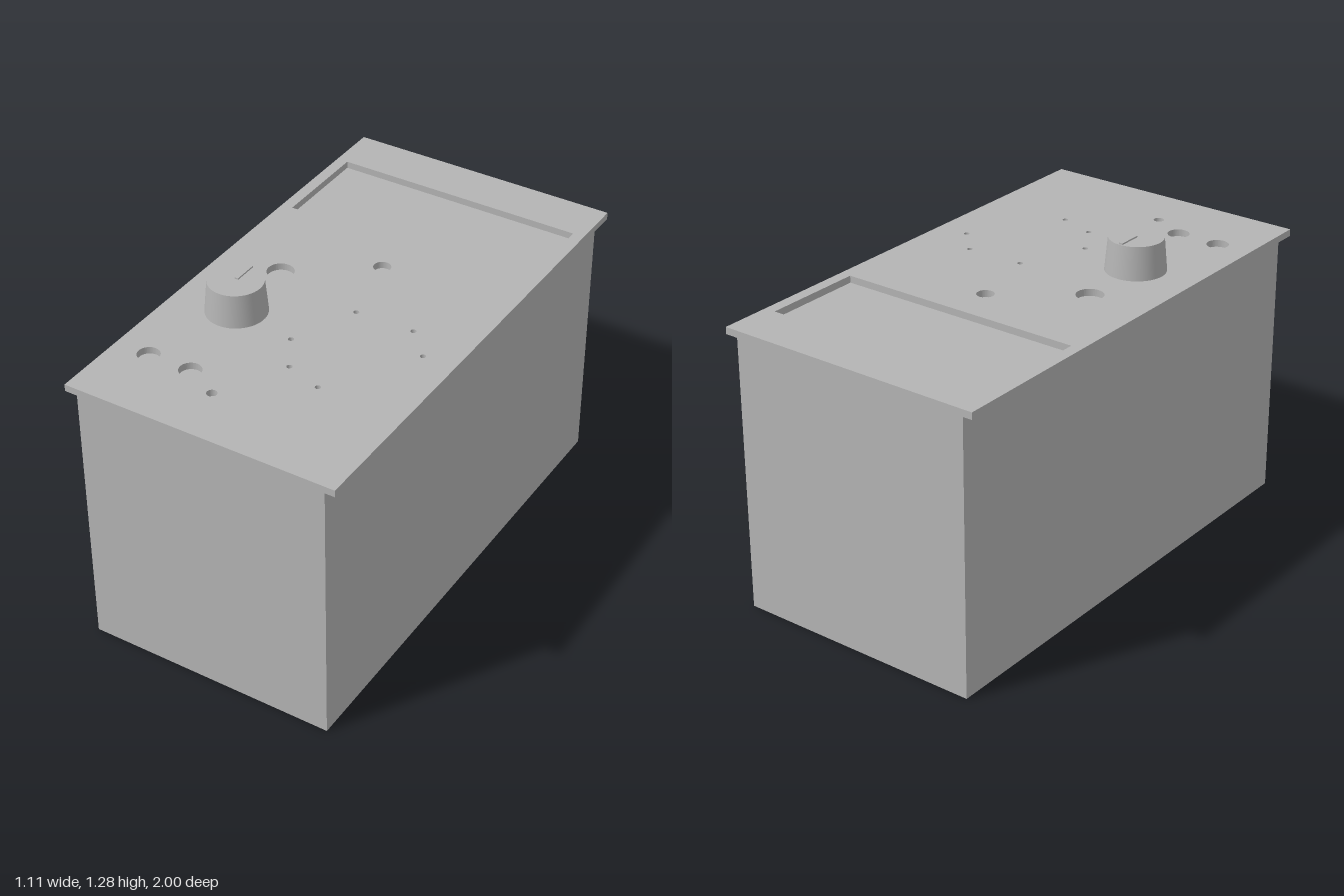
import * as THREE from 'three';

export function createModel() {
  const model = new THREE.Group();
  model.name = 'instrumentBox';
  const grey = new THREE.MeshStandardMaterial({ color: 0xb4b4b4 });
  grey.name = 'plain grey';

  const bodyTop = 1.112, panelTop = 1.14;
  const add = (name, geometry, x, y, z) => {
    const mesh = new THREE.Mesh(geometry, grey);
    mesh.name = name;
    mesh.position.set(x, y, z);
    model.add(mesh);
  };

  // Closed case; its top is the floor of every panel opening
  add('caseBody', new THREE.BoxGeometry(1.02, bodyTop, 1.984), 0, bodyTop / 2, 0);

  // Outline helper, drawn in x and z
  const rect = (target, x0, z0, x1, z1) => {
    target.moveTo(x0, z0);
    target.lineTo(x1, z0);
    target.lineTo(x1, z1);
    target.lineTo(x0, z1);
    target.closePath();
    return target;
  };

  // Front panel with display window and round openings
  const panel = rect(new THREE.Shape(), -0.555, -1, 0.555, 1);
  panel.holes.push(rect(new THREE.Path(), -0.509, -0.797, 0.509, -0.388));
  const holes = [ // x, z, radius
    [0.005, -0.215, 0.034], [-0.303, 0.01, 0.053],
    [-0.412, 0.699, 0.043], [-0.232, 0.699, 0.043], [-0.09, 0.772, 0.02],
    [0.078, 0.09, 0.011], [0.316, 0.085, 0.011], [0.423, 0.2, 0.011],
    [-0.032, 0.357, 0.011], [0.054, 0.5, 0.011], [0.204, 0.55, 0.011],
  ];
  for (const [x, z, r] of holes) {
    panel.holes.push(new THREE.Path().absarc(x, z, r, 0, Math.PI * 2, true));
  }
  const panelGeometry = new THREE.ExtrudeGeometry(panel, {
    depth: panelTop - bodyTop, bevelEnabled: false, curveSegments: 24,
  });
  panelGeometry.rotateX(Math.PI / 2);
  add('topPanel', panelGeometry, 0, panelTop, 0);

  // Tapered rotary knob with a raised pointer
  const knobHeight = 0.132;
  add('rotaryKnob', new THREE.CylinderGeometry(0.106, 0.118, knobHeight, 64),
    -0.3, panelTop + knobHeight / 2, 0.307);
  add('knobPointer', new THREE.BoxGeometry(0.015, 0.008, 0.096),
    -0.3, panelTop + knobHeight + 0.002, 0.254);

  return model;
}
